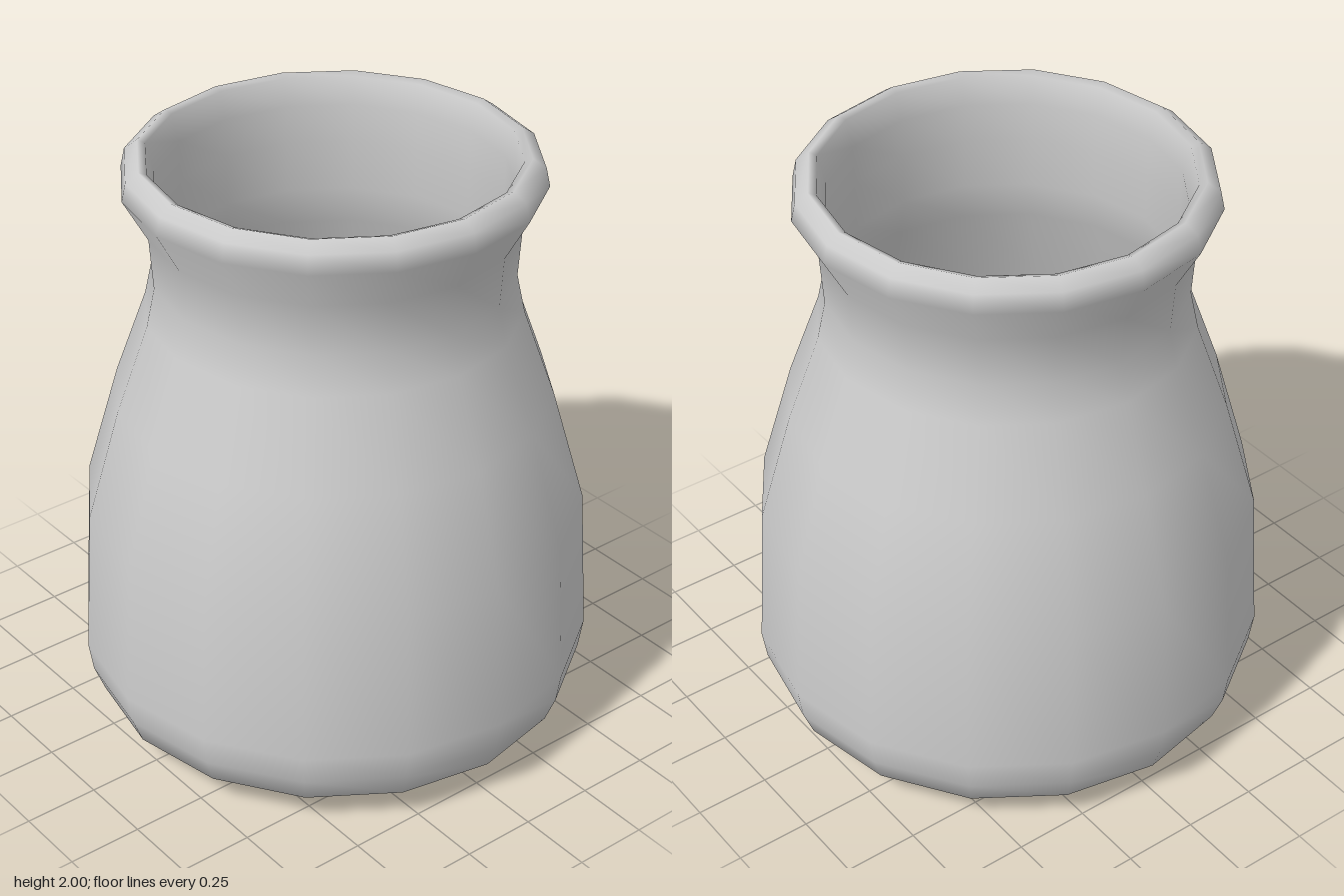
import * as THREE from 'three';

const SIDES = 16;

// Half cross-sections as [radius, height]
const OUTSIDE = [
  [0, 0], [0.22, 0.004], [0.56, 0.03], [0.71, 0.06], [0.80, 0.11], [0.835, 0.2], [0.85, 0.3],
  [0.82, 0.8], [0.71, 1.18], [0.605, 1.47], [0.577, 1.6], [0.588, 1.77],
];
const RIM = [[0.665, 1.91], [0.652, 1.97], [0.61, 2.0], [0.585, 1.99]];
const INSIDE = [
  [0.562, 1.9], [0.56, 1.77], [0.56, 1.6], [0.582, 1.47], [0.685, 1.18], [0.795, 0.8],
  [0.825, 0.3], [0.78, 0.13], [0.69, 0.085], [0.55, 0.055], [0, 0.03],
];

export function createModel() {
  const clay = new THREE.MeshStandardMaterial({ color: 0xcccccc });
  clay.name = 'plain grey';

  // One continuous shell: underside, belly, neck, rolled rim, then back down the inside
  const profile = [...OUTSIDE, ...RIM, ...INSIDE].map(([r, y]) => new THREE.Vector2(r, y));
  const jar = new THREE.Mesh(new THREE.LatheGeometry(profile, SIDES), clay);
  jar.name = 'jarShell';

  const model = new THREE.Group();
  model.name = 'jar';
  model.add(jar);
  return model;
}
